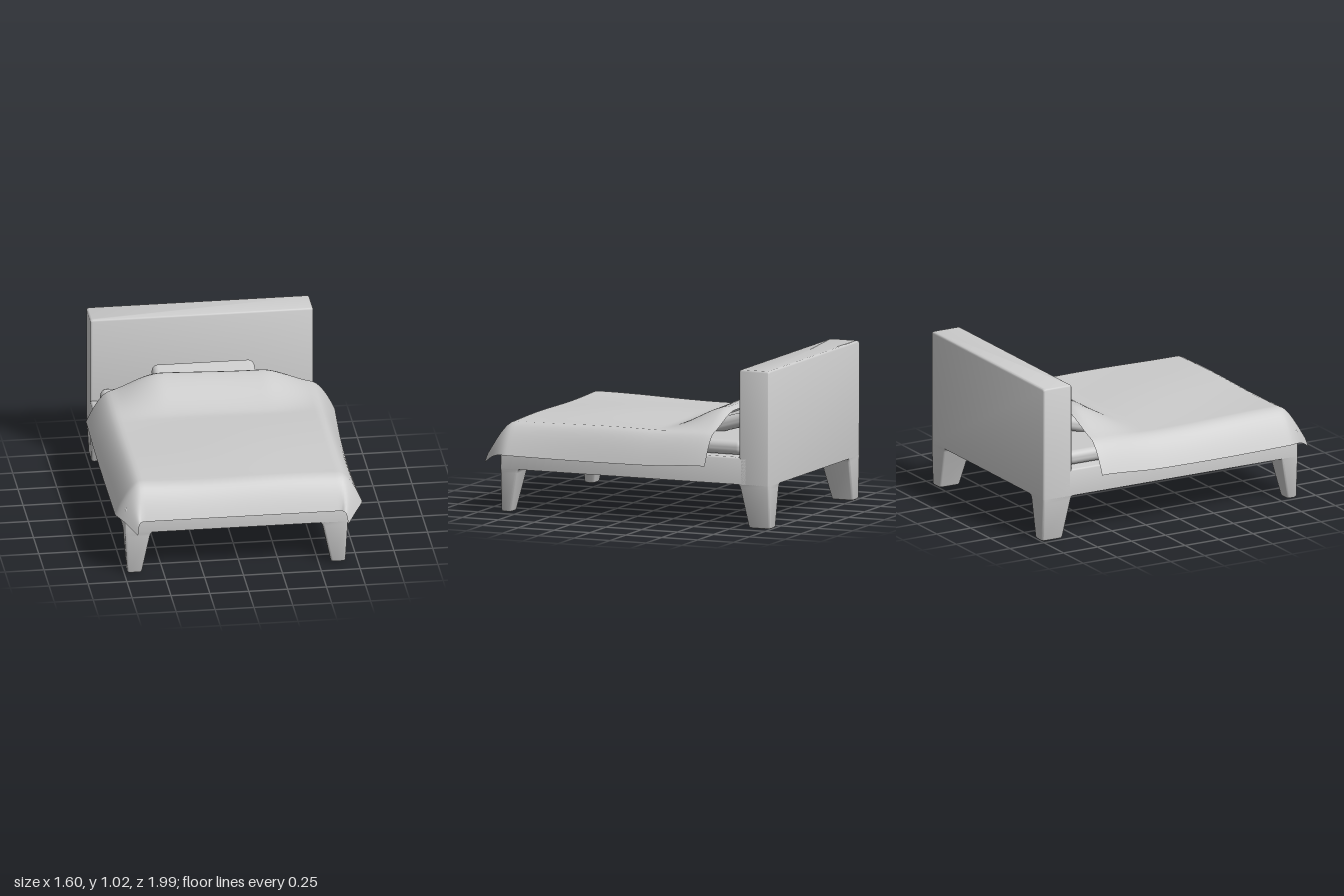
import * as THREE from 'three';
import { toCreasedNormals } from 'three/addons/utils/BufferGeometryUtils.js';
import { RoundedBoxGeometry } from 'three/addons/geometries/RoundedBoxGeometry.js';

const grey = new THREE.MeshStandardMaterial({ color: 0xcccccc });
const cloth = new THREE.MeshStandardMaterial({ color: 0xcccccc, side: THREE.DoubleSide });
const CX = -0.028; // middle of the frame in x

function add(parent, name, geometry, material = grey) {
  const mesh = new THREE.Mesh(geometry, material);
  mesh.name = name;
  parent.add(mesh);
  return mesh;
}

// Loft of rounded rectangles [y, x0, x1, z0, z1], listed from bottom to top
function loft(rings, r = 0.014, seg = 3) {
  const pos = [], index = [], n = 4 * (seg + 1);
  for (const [y, x0, x1, z0, z1] of rings) {
    for (let c = 0; c < 4; c++) {
      const px = c === 0 || c === 3 ? x1 - r : x0 + r;
      const pz = c < 2 ? z0 + r : z1 - r;
      for (let k = 0; k <= seg; k++) {
        const a = (c + k / seg) * Math.PI / 2;
        pos.push(px + r * Math.cos(a), y, pz - r * Math.sin(a));
      }
    }
  }
  const last = (rings.length - 1) * n;
  for (let i = 0; i < last; i += n) {
    for (let j = 0; j < n; j++) {
      const k = (j + 1) % n;
      index.push(i + j, i + k, i + n + k, i + j, i + n + k, i + n + j);
    }
  }
  for (let j = 1; j < n - 1; j++) {
    index.push(0, j + 1, j, last, last + j, last + j + 1);
  }
  const g = new THREE.BufferGeometry();
  g.setAttribute('position', new THREE.Float32BufferAttribute(pos, 3));
  g.setIndex(index);
  return toCreasedNormals(g, 0.7);
}

// Block with softened top edges
function block(x0, x1, y0, y1, z0, z1) {
  const b = 0.012, c = 0.004;
  return loft([
    [y0, x0, x1, z0, z1],
    [y1 - b, x0, x1, z0, z1],
    [y1 - c, x0 + c, x1 - c, z0 + c, z1 - c],
    [y1, x0 + b, x1 - b, z0 + b, z1 - b],
  ]);
}

// Tapered leg; side = -1 or 1 in x, outer/inner z at foot and top
function leg(side, zOut, zFoot, zTop) {
  const dir = Math.sign(zTop - zOut);
  const ring = (y, out, inn, zo, zi) => {
    const xs = [CX + side * out, CX + side * inn].sort((a, b) => a - b);
    const zs = [zo, zi].sort((a, b) => a - b);
    return [y, ...xs, ...zs];
  };
  return loft([
    ring(0, 0.69, 0.618, zOut + dir * 0.012, zFoot - dir * 0.012),
    ring(0.004, 0.698, 0.61, zOut + dir * 0.004, zFoot - dir * 0.004),
    ring(0.014, 0.702, 0.606, zOut, zFoot),
    ring(0.255, 0.716, 0.555, zOut, zTop - dir * 0.006),
    ring(0.272, 0.717, 0.546, zOut, zTop),
    ring(0.282, 0.717, 0.53, zOut, zTop + dir * 0.015),
  ]);
}

// Blanket: flat top, lifted over the pillows, draped over both sides and the foot
function blanketGeometry() {
  const N = 72, g = new THREE.PlaneGeometry(2, 2, N, N).rotateX(-Math.PI / 2);
  const p = g.attributes.position;
  const flat = 0.72, sm = THREE.MathUtils.smoothstep;
  for (let i = 0; i < p.count; i++) {
    const u = p.getX(i), v = (p.getZ(i) + 1) / 2; // v: 0 head, 1 foot
    const s = Math.sign(u);
    const dx = Math.max(0, (Math.abs(u) - flat) / (1 - flat));
    const dz = Math.max(0, (v - 0.86) / 0.14);
    let x = s * 0.64 * Math.min(1, Math.abs(u) / flat);
    let z = -0.6 + 1.39 * Math.min(1, v / 0.86);

    // raised part over the pillows, fading to the sides and towards the foot
    const across = 1 - sm(Math.abs(x), 0.32, 0.72);
    const along = 1 - sm(z, -0.56, -0.17);
    const backDip = 0.02 * (1 - sm(z, -0.6, -0.56));
    let y = 0.592 + across * (0.137 * along - backDip);

    // soft waves in the cloth
    const top = (1 - Math.min(1, dx)) * (1 - Math.min(1, dz));
    y += top * (0.007 * Math.sin(4.2 * z + 1.6 * x) + 0.006 * Math.sin(5 * x - 2.5 * z + 2));

    // drape past the edges
    const t = Math.cbrt(dx ** 3 + dz ** 3);
    if (t > 0) {
      const len = Math.hypot(dx, dz), out = 0.16 * Math.pow(t, 0.8);
      const fold = dx * dz * dz;
      x += s * (out * dx / len - 0.1 * fold);
      z += 0.97 * out * dz / len + 0.065 * fold;
      y -= 0.205 * Math.pow(t, 1.4) + 0.012 * dx * Math.sin(Math.PI * v);
    }
    if (s > 0) x -= 0.025 * dx * Math.sin(Math.PI * v);
    p.setXYZ(i, x, y, z);
  }
  g.computeVertexNormals();
  return g;
}

export function createModel() {
  const bed = new THREE.Group();
  bed.name = 'bed';
  const x0 = CX - 0.717, x1 = CX + 0.717;

  // Frame
  add(bed, 'headboard', block(x0, x1, 0.28, 1.02, -1, -0.79));
  add(bed, 'bedBase', block(x0, x1, 0.28, 0.455, -0.85, 0.875));
  for (const side of [-1, 1]) {
    const label = side > 0 ? 'Left' : 'Right';
    add(bed, 'front' + label + 'Leg', leg(side, 0.875, 0.803, 0.75));
    add(bed, 'back' + label + 'Leg', leg(side, -1, -0.848, -0.79));
  }

  // Two pillows side by side and a third leaning on top of them
  const pillow = new RoundedBoxGeometry(0.66, 0.092, 0.4, 5, 0.04);
  for (const side of [-1, 1]) {
    add(bed, side > 0 ? 'leftPillow' : 'rightPillow', pillow)
      .position.set(CX + side * 0.33, 0.503, -0.585);
  }
  const upper = add(bed, 'topPillow', pillow);
  upper.position.set(CX, 0.617, -0.583);
  upper.rotation.x = 0.27;

  add(bed, 'blanket', blanketGeometry(), cloth);
  return bed;
}
